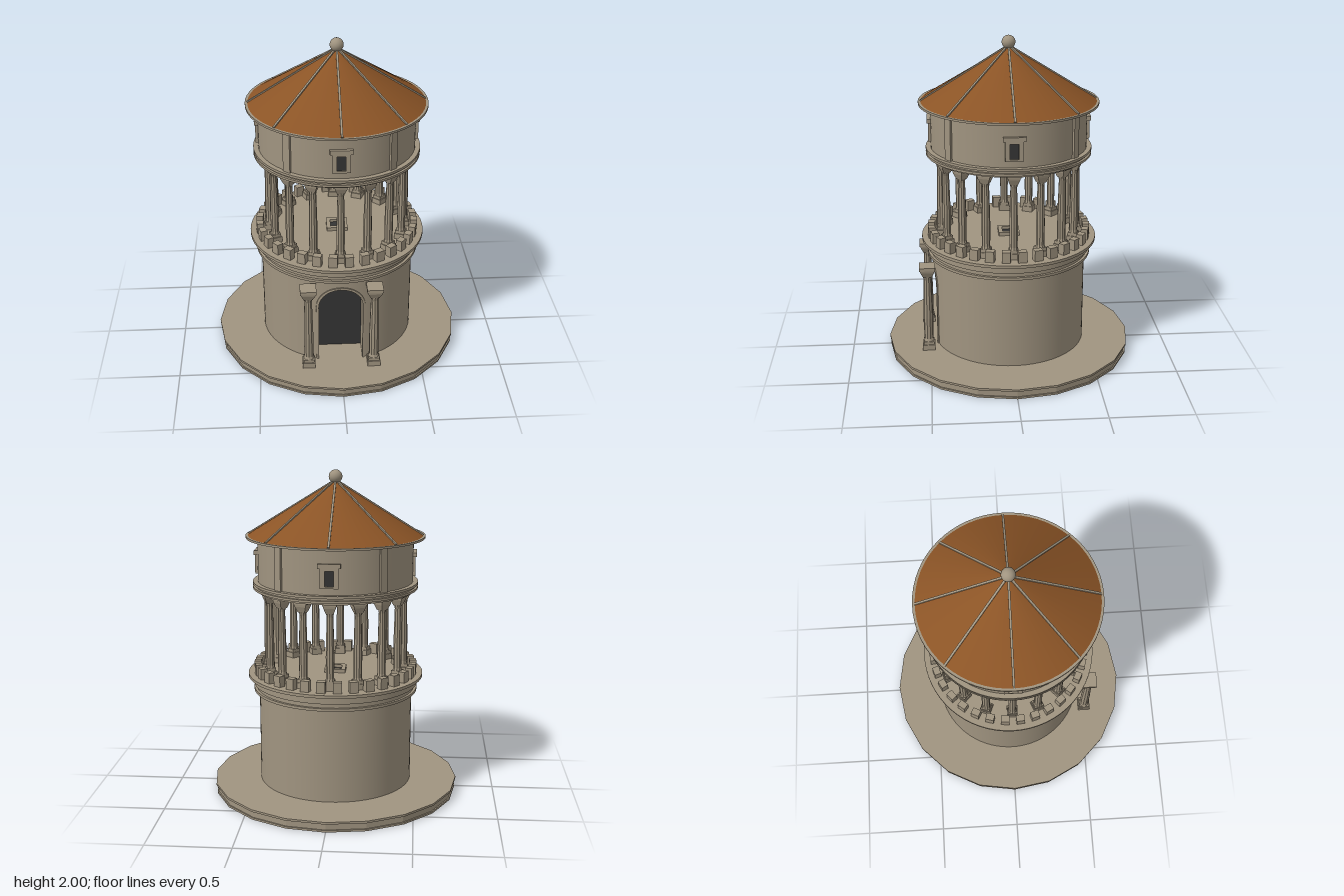
import * as THREE from 'three';

const mat = (name, color) => {
  const m = new THREE.MeshStandardMaterial({ color });
  m.name = name;
  return m;
};

export function createModel() {
  const stone = mat('stone', 0xa09480);
  const roofTile = mat('roof tile', 0x8b5426);
  const dark = mat('dark opening', 0x343434);
  const model = new THREE.Group();

  const add = (name, geo, material = stone, parent = model) => {
    const m = new THREE.Mesh(geo, material);
    m.name = name;
    parent.add(m);
    return m;
  };
  const group = (name, x, z, angle = 0) => {
    const g = new THREE.Group();
    g.name = name;
    g.position.set(x, 0, z);
    g.rotation.y = angle;
    model.add(g);
    return g;
  };
  const flat = (geo) => {
    const g = geo.toNonIndexed();
    g.computeVertexNormals();
    return g;
  };
  // Solid ring or drum between two heights
  const ring = (rBottom, rTop, y0, y1, sides = 64) =>
    new THREE.CylinderGeometry(rTop, rBottom, y1 - y0, sides).translate(0, (y0 + y1) / 2, 0);
  const box = (w, y0, y1, d, z = 0) =>
    new THREE.BoxGeometry(w, y1 - y0, d).translate(0, (y0 + y1) / 2, z);
  // Square block whose half width changes with height
  const taper = (h0, h1, y0, y1) =>
    flat(new THREE.CylinderGeometry(h1 * Math.SQRT2, h0 * Math.SQRT2, y1 - y0, 4)
      .rotateY(Math.PI / 4).translate(0, (y0 + y1) / 2, 0));

  // Twenty-sided plinth with a narrow groove
  for (const [r, y0, y1] of [[0.76, 0, 0.012], [0.752, 0.012, 0.052], [0.766, 0.052, 0.065]])
    add('plinth', flat(ring(r, r, y0, y1, 20)));

  // Lower drum, left open where the doorway is
  const R = 0.475, half = 0.145, spring = 0.445;
  const gap = Math.asin(half / R);
  add('lowerDrum', new THREE.CylinderGeometry(R, R, 0.585, 72, 1, true, gap, Math.PI * 2 - 2 * gap)
    .translate(0, 0.3575, 0));

  // Curved wall above the arch
  const pos = [], nor = [], idx = [], n = 24;
  for (let i = 0; i <= n; i++) {
    const x = -half * Math.cos((Math.PI * i) / n);
    const z = Math.sqrt(R * R - x * x);
    pos.push(x, spring + Math.sqrt(Math.max(0, half * half - x * x)), z, x, 0.65, z);
    nor.push(x / R, 0, z / R, x / R, 0, z / R);
    const a = 2 * i;
    if (i < n) idx.push(a, a + 2, a + 1, a + 1, a + 2, a + 3);
  }
  const wall = new THREE.BufferGeometry();
  wall.setAttribute('position', new THREE.Float32BufferAttribute(pos, 3));
  wall.setAttribute('normal', new THREE.Float32BufferAttribute(nor, 3));
  wall.setIndex(idx);
  add('wallAboveDoor', wall);

  // Deep arched surround whose front follows the drum
  const archPath = (shape, r) => {
    shape.moveTo(-r, 0.065);
    shape.lineTo(r, 0.065);
    shape.lineTo(r, spring);
    shape.absarc(0, spring, r, 0, Math.PI, false);
    shape.lineTo(-r, 0.065);
    return shape;
  };
  const archShape = new THREE.Shape();
  archShape.moveTo(0.15, 0.065);
  archShape.lineTo(0.15, spring);
  archShape.absarc(0, spring, 0.15, 0, Math.PI, false);
  archShape.lineTo(-0.15, 0.065);
  archShape.lineTo(-0.135, 0.065);
  archShape.lineTo(-0.135, spring);
  archShape.absarc(0, spring, 0.135, Math.PI, 0, true);
  archShape.lineTo(0.135, 0.065);
  const arch = new THREE.ExtrudeGeometry(archShape, { depth: 1, bevelEnabled: false, curveSegments: 20 });
  const p = arch.attributes.position;
  for (let i = 0; i < p.count; i++)
    p.setZ(i, p.getZ(i) > 0.5 ? Math.sqrt(0.481 ** 2 - p.getX(i) ** 2) : 0.31);
  arch.computeVertexNormals();
  add('doorSurround', arch);
  add('door', new THREE.ShapeGeometry(archPath(new THREE.Shape(), 0.14), 20).translate(0, 0, 0.315), dark);

  // Cornice and terrace floor
  for (const [r, y0, y1] of [[0.508, 0.645, 0.662], [0.492, 0.662, 0.69], [0.51, 0.69, 0.735], [0.542, 0.735, 0.753]])
    add('cornice', ring(r, r, y0, y1));

  // Battlements
  const merlon = box(0.052, 0.753, 0.82, 0.042, 0.483);
  for (let i = 0; i < 32; i++)
    add('merlon', merlon).rotation.y = ((i + 0.5) * Math.PI) / 16;

  // Floor hatch
  for (const s of [-1, 1]) {
    add('hatchFrame', box(0.13, 0.753, 0.775, 0.025, s * 0.0525));
    add('hatchFrame', box(0.08, 0.753, 0.775, 0.025, s * 0.0525)).rotation.y = Math.PI / 2;
  }
  add('hatch', box(0.08, 0.753, 0.758, 0.08), dark);

  // Classical column: square base, faceted swelling shaft, flared capital
  const column = (name, x, z, angle, y0, y1, w) => {
    const g = group(name, x, z, angle);
    add('columnBase', box(w * 1.6, y0, y0 + 0.035, w * 1.6), stone, g);
    add('columnBase', box(w * 1.35, y0 + 0.035, y0 + 0.055, w * 1.35), stone, g);
    const s0 = y0 + 0.055, h = y1 - 0.06 - s0;
    const profile = [[0.34, 0], [0.29, 0.04], [0.31, 0.35], [0.27, 0.7], [0.24, 0.93], [0.3, 1]]
      .map(([r, t]) => new THREE.Vector2(r * w * 2, s0 + t * h));
    add('columnShaft', flat(new THREE.LatheGeometry(profile, 10)), stone, g);
    add('capital', taper(w * 0.52, w * 0.84, y1 - 0.07, y1 - 0.035), stone, g);
    add('capital', taper(w * 0.84, w * 0.9, y1 - 0.035, y1 - 0.02), stone, g);
    add('abacus', box(w * 2, y1 - 0.02, y1, w * 2), stone, g);
  };
  for (const s of [-1, 1]) column('doorColumn', s * 0.2, 0.514, 0, 0.065, 0.625, 0.049);
  for (let i = 0; i < 16; i++) {
    const a = (i * Math.PI) / 8;
    column('galleryColumn', 0.42 * Math.sin(a), 0.42 * Math.cos(a), a, 0.753, 1.282, 0.042);
  }

  // Upper drum with its string courses
  for (const [r, y0, y1] of [[0.485, 1.275, 1.288], [0.505, 1.288, 1.302], [0.49, 1.302, 1.315], [0.505, 1.315, 1.33]])
    add('stringCourse', ring(r, r, y0, y1));
  add('upperDrum', ring(R, R, 1.33, 1.6, 72));

  // Pilasters
  const pilaster = box(0.05, 1.33, 1.6, 0.03, 0.472);
  for (const a of [39.5, 140.5, 219.5, 320.5])
    add('pilaster', pilaster).rotation.y = THREE.MathUtils.degToRad(a);

  // Four small windows
  for (let i = 0; i < 4; i++) {
    const g = group('window', 0, 0, (i * Math.PI) / 2);
    for (const s of [-1, 1])
      add('windowJamb', box(0.027, 1.37, 1.487, 0.03, 0.473).translate(s * 0.0395, 0, 0), stone, g);
    add('windowSill', box(0.053, 1.37, 1.382, 0.03, 0.473), stone, g);
    add('windowHead', box(0.053, 1.472, 1.487, 0.03, 0.473), stone, g);
    add('windowLintel', box(0.132, 1.487, 1.513, 0.036, 0.476), stone, g);
    add('windowPane', box(0.054, 1.38, 1.474, 0.008, 0.475), dark, g);
  }

  // Conical roof with eaves, ribs and ball
  add('eaves', ring(0.545, 0.545, 1.597, 1.61));
  add('roof', new THREE.ConeGeometry(0.53, 0.328, 64, 1, true).translate(0, 1.774, 0), roofTile);
  const slope = Math.atan2(0.328, 0.53), length = Math.hypot(0.328, 0.53);
  const rib = new THREE.BoxGeometry(0.013, 0.014, length)
    .rotateX(slope).translate(0, 1.774, 0.265);
  for (let i = 0; i < 8; i++) add('roofRib', rib).rotation.y = (i * Math.PI) / 4;
  add('finial', new THREE.SphereGeometry(0.041, 24, 16).translate(0, 1.959, 0));

  return model;
}
